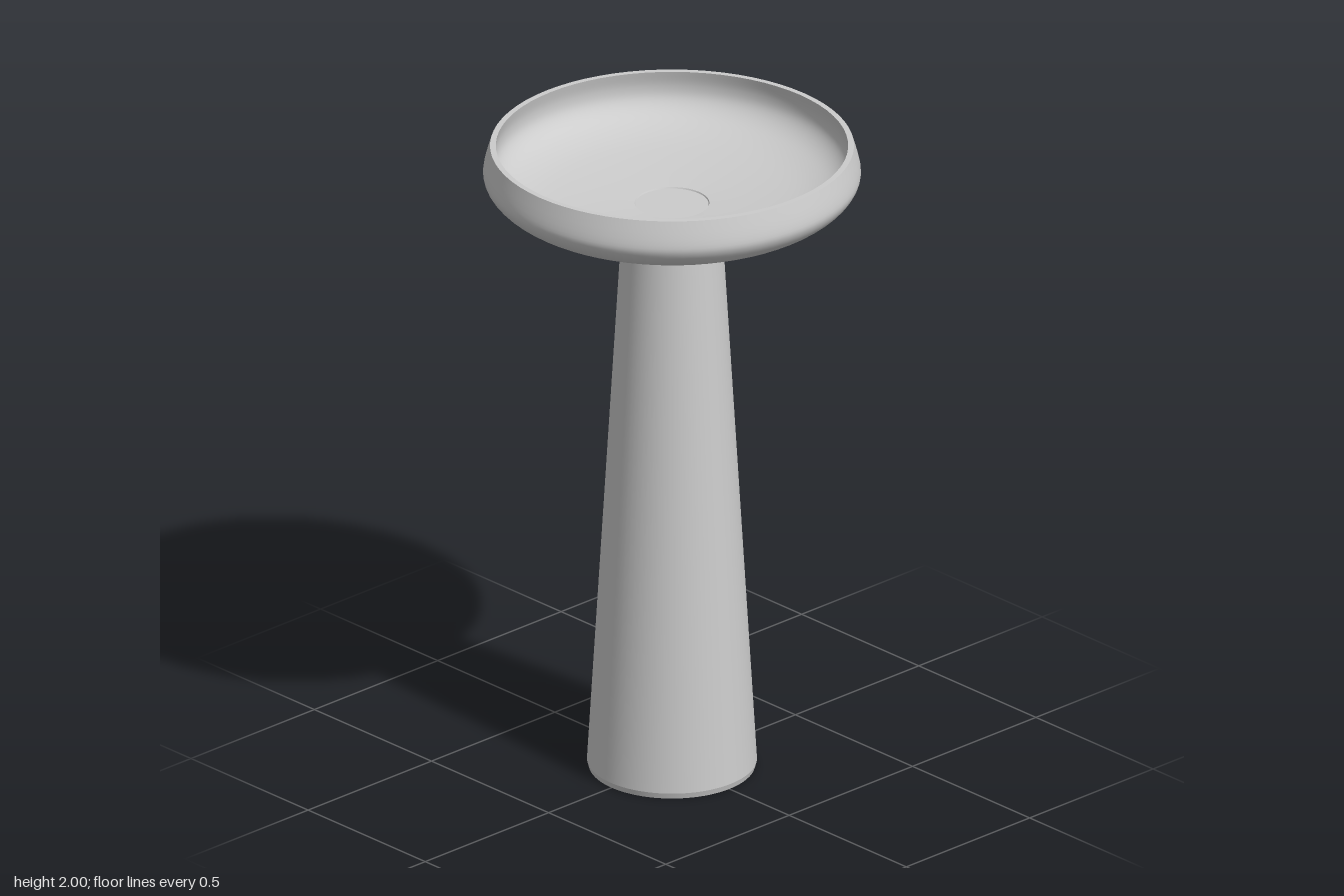
import * as THREE from 'three';

const SEGMENTS = 72;

export function createModel() {
  const group = new THREE.Group();
  const ceramic = new THREE.MeshStandardMaterial({ color: 0xcccccc });
  ceramic.name = 'light grey ceramic';

  // Revolve a profile of [radius, height] pairs, optionally smoothed
  const turn = (name, profile, samples = 0) => {
    let points = profile.map(([r, y]) => new THREE.Vector2(r, y));
    if (samples) points = new THREE.SplineCurve(points).getPoints(samples);
    const mesh = new THREE.Mesh(new THREE.LatheGeometry(points, SEGMENTS), ceramic);
    mesh.name = name;
    group.add(mesh);
  };

  // Pedestal: flat underside, small undercut edge, tapering column
  turn('pedestalUnderside', [[0, 0], [0.245, 0]]);
  turn('pedestalFootEdge', [[0.245, 0], [0.25, 0.018]]);
  turn('pedestalColumn', [[0.25, 0.018], [0.15, 1.7]]);

  // Basin outside: flares from the neck, then rounds over to the rim
  turn('basinOutside', [
    [0.15, 1.7], [0.155, 1.727], [0.176, 1.751], [0.235, 1.773], [0.33, 1.792],
    [0.42, 1.812], [0.485, 1.835], [0.53, 1.866], [0.553, 1.9], [0.553, 1.935], [0.535, 2],
  ], 36);

  // Flat rim
  turn('basinRim', [[0.535, 2], [0.518, 2]]);

  // Basin inside: steep wall rounding into a shallow floor
  turn('basinInside', [
    [0.518, 2], [0.526, 1.955], [0.52, 1.915], [0.492, 1.882], [0.445, 1.858],
    [0.37, 1.839], [0.25, 1.825], [0.11, 1.815],
  ], 32);

  // Drain cover, set just below the floor
  turn('drainEdge', [[0.11, 1.815], [0.108, 1.811]]);
  turn('drainCover', [[0.108, 1.811], [0, 1.811]]);

  return group;
}
